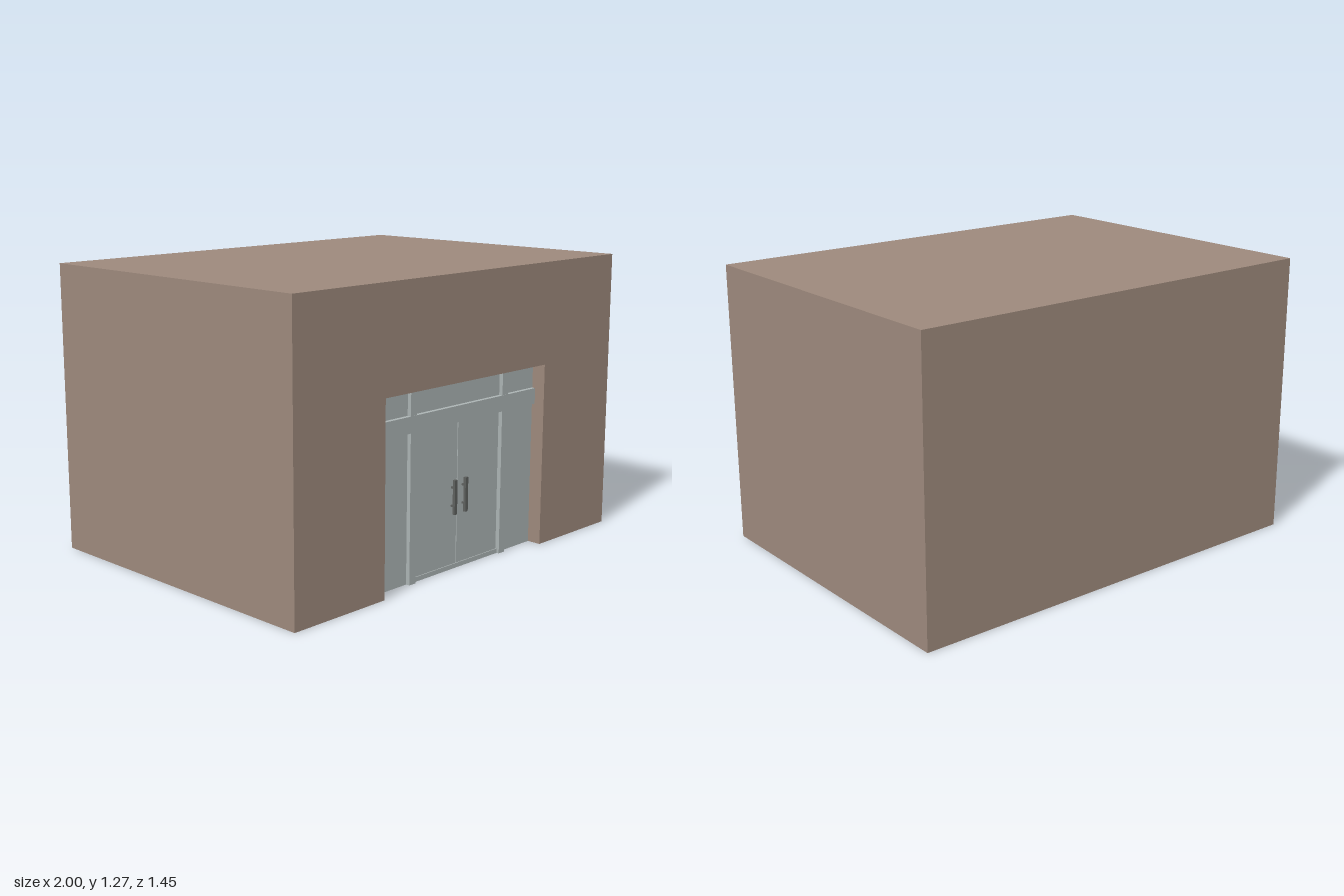
import * as THREE from 'three';

const W = 1, H = 1.27, D = 0.725;        // half width, height, half depth of the shell
const OW = 0.51, OH = 0.82, JAMB = 0.09; // doorway half width, height, reveal depth
const GLASS_Z = 0.655;                   // plane of the doors and panes

export function createModel() {
  const model = new THREE.Group();
  model.name = 'entrance';

  const wallMat = new THREE.MeshStandardMaterial({ color: 0x9d897c, side: THREE.DoubleSide });
  wallMat.name = 'brown wall';
  const doorMat = new THREE.MeshStandardMaterial({ color: 0xabb3b3 });
  doorMat.name = 'pale grey door';
  const handleMat = new THREE.MeshStandardMaterial({ color: 0x5e605e });
  handleMat.name = 'dark grey handle';

  const add = (name, geo, mat, parent = model) => {
    const mesh = new THREE.Mesh(geo, mat);
    mesh.name = name;
    parent.add(mesh);
    return mesh;
  };
  // box given by its minimum and maximum corners
  const box = (name, mat, [x0, y0, z0], [x1, y1, z1], parent) => {
    const geo = new THREE.BoxGeometry(x1 - x0, y1 - y0, z1 - z0);
    geo.translate((x0 + x1) / 2, (y0 + y1) / 2, (z0 + z1) / 2);
    return add(name, geo, mat, parent);
  };

  // thin shell, open underneath
  const outline = new THREE.Shape([
    [-W, 0], [-OW, 0], [-OW, OH], [OW, OH], [OW, 0], [W, 0], [W, H], [-W, H],
  ].map(([x, y]) => new THREE.Vector2(x, y)));
  add('frontWall', new THREE.ShapeGeometry(outline).translate(0, 0, D), wallMat);
  add('backWall', new THREE.PlaneGeometry(2 * W, H).rotateY(Math.PI).translate(0, H / 2, -D), wallMat);
  add('roof', new THREE.PlaneGeometry(2 * W, 2 * D).rotateX(-Math.PI / 2).translate(0, H, 0), wallMat);
  for (const s of [-1, 1]) {
    const side = s > 0 ? 'left' : 'right';
    add(side + 'Wall', new THREE.PlaneGeometry(2 * D, H).rotateY(s * Math.PI / 2).translate(s * W, H / 2, 0), wallMat);
    add(side + 'Jamb', new THREE.PlaneGeometry(JAMB, OH).rotateY(-s * Math.PI / 2)
      .translate(s * OW, OH / 2, D - JAMB / 2), wallMat);
  }
  add('doorwaySoffit', new THREE.PlaneGeometry(2 * OW, JAMB).rotateX(Math.PI / 2)
    .translate(0, OH, D - JAMB / 2), wallMat);

  // horizontal rail, transom panes and threshold
  box('crossRail', doorMat, [-OW, 0.64, 0.635], [0.505, 0.71, 0.68]);
  box('transomPane', doorMat, [-OW, 0.71, GLASS_Z - 0.006], [OW, OH, GLASS_Z + 0.006]);
  box('threshold', doorMat, [-0.275, 0, GLASS_Z - 0.012], [0.275, 0.02, GLASS_Z + 0.012]);

  for (const s of [-1, 1]) {
    const half = new THREE.Group();
    half.name = s > 0 ? 'leftDoorHalf' : 'rightDoorHalf';
    model.add(half);
    const span = (a, b) => (s > 0 ? [a, b] : [-b, -a]);
    const part = (name, mat, a, b, y0, y1, z0, z1) => {
      const [x0, x1] = span(a, b);
      box(name, mat, [x0, y0, z0], [x1, y1, z1], half);
    };
    // fixed pane, mullion and hinged leaf
    part('sidePane', doorMat, 0.31, OW, 0, 0.64, GLASS_Z - 0.006, GLASS_Z + 0.006);
    part('mullion', doorMat, 0.275, 0.312, 0, 0.81, 0.636, 0.679);
    part('doorLeaf', doorMat, 0.002, 0.271, 0.01, 0.637, GLASS_Z - 0.008, GLASS_Z + 0.008);

    // pull handles on both faces of the leaf
    for (const f of [-1, 1]) {
      const z = (a, b) => [GLASS_Z + f * a, GLASS_Z + f * b].sort((p, q) => p - q);
      part('handleBar', handleMat, 0.027, 0.043, 0.245, 0.395, ...z(0.022, 0.034));
      for (const y of [0.28, 0.36]) {
        part('handlePost', handleMat, 0.031, 0.039, y - 0.004, y + 0.004, ...z(0.006, 0.024));
      }
    }
  }
  return model;
}
